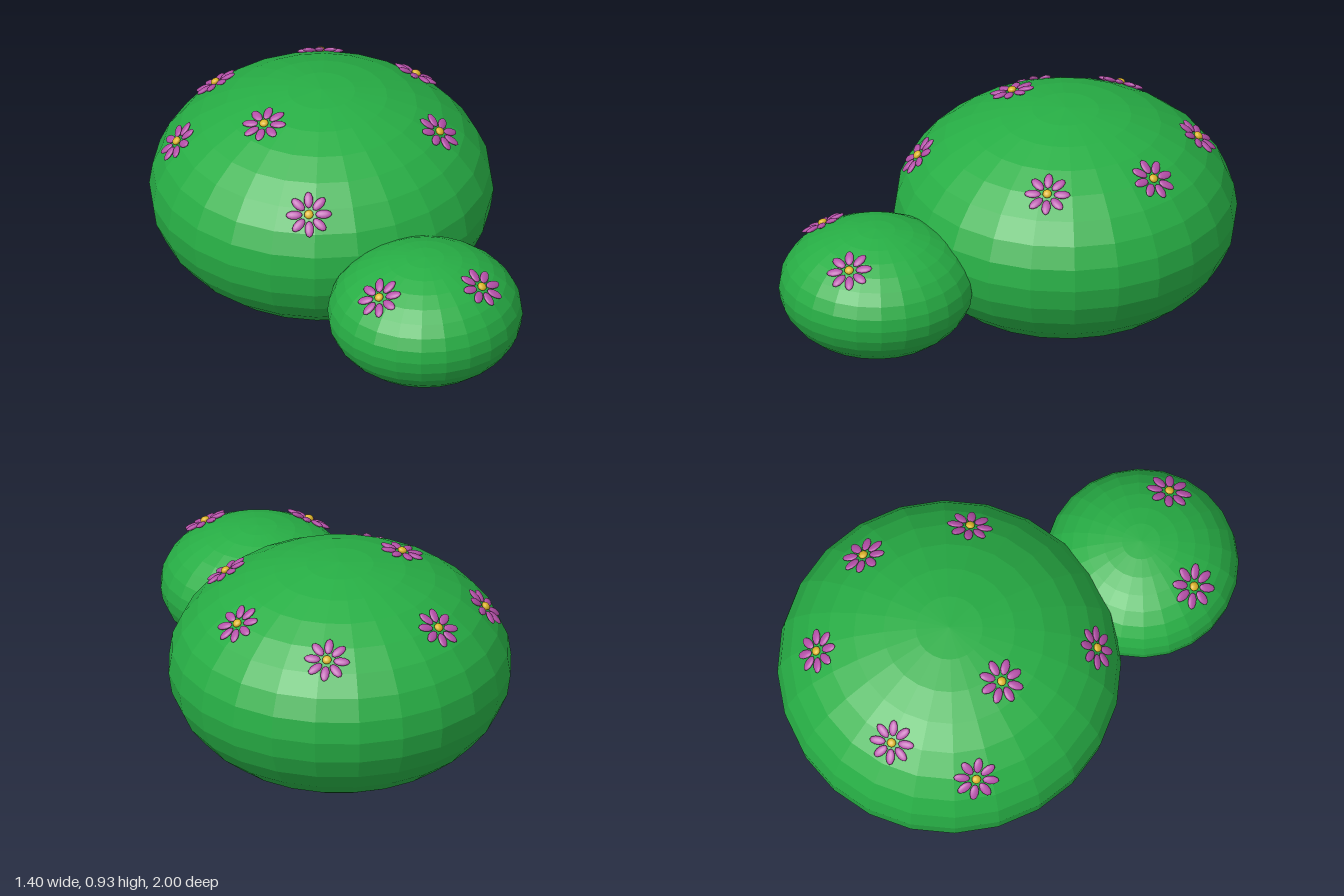
import * as THREE from 'three';

const leafGreen = new THREE.MeshStandardMaterial({ name: 'leafGreen', color: 0x27ae45, flatShading: true });
const petalPurple = new THREE.MeshStandardMaterial({ name: 'petalPurple', color: 0xb44fa8 });
const pollenYellow = new THREE.MeshStandardMaterial({ name: 'pollenYellow', color: 0xdcb428 });

const petalGeometry = new THREE.SphereGeometry(1, 10, 8).scale(0.034, 0.009, 0.0185);
const pollenGeometry = new THREE.SphereGeometry(1, 10, 8).scale(0.019, 0.013, 0.019);

// Eight flat petals around a yellow centre, facing +y
function makeFlower(spin) {
  const flower = new THREE.Group();
  flower.name = 'flower';
  for (let i = 0; i < 8; i++) {
    const angle = spin + (i * Math.PI) / 4;
    const petal = new THREE.Mesh(petalGeometry, petalPurple);
    petal.name = 'petal';
    petal.position.set(Math.cos(angle) * 0.06, 0, -Math.sin(angle) * 0.06);
    petal.rotation.y = angle;
    flower.add(petal);
  }
  const centre = new THREE.Mesh(pollenGeometry, pollenYellow);
  centre.name = 'flowerCentre';
  centre.position.y = 0.005;
  flower.add(centre);
  return flower;
}

// Squashed ball with flowers laid on its upper surface at the given [x, z, spin]
function makeBush(name, centre, radii, flowers) {
  const bush = new THREE.Group();
  bush.name = name;
  const geometry = new THREE.SphereGeometry(1, 24, 16).scale(...radii);
  const foliage = new THREE.Mesh(geometry, leafGreen);
  foliage.name = name + 'Foliage';
  bush.add(foliage);

  const [rx, ry, rz] = radii;
  const up = new THREE.Vector3(0, 1, 0);
  for (const [x, z, spin] of flowers) {
    const dx = x - centre[0], dz = z - centre[2];
    const dy = ry * Math.sqrt(1 - (dx / rx) ** 2 - (dz / rz) ** 2);
    const normal = new THREE.Vector3(dx / rx ** 2, dy / ry ** 2, dz / rz ** 2).normalize();
    const flower = makeFlower(spin);
    flower.position.set(dx, dy, dz).addScaledVector(normal, 0.004);
    flower.quaternion.setFromUnitVectors(up, normal);
    bush.add(flower);
  }
  bush.position.set(...centre);
  return bush;
}

export function createModel() {
  const model = new THREE.Group();
  model.name = 'floweringBushes';

  model.add(makeBush('largeBush', [0, 0.47, -0.305], [0.698, 0.467, 0.695], [
    [-0.255, -0.735, 0.05],
    [0.245, -0.78, 0.25],
    [-0.545, -0.515, 0.15],
    [0.485, -0.41, 0.1],
    [-0.295, -0.24, 0],
    [0.365, 0.02, 0.1],
    [-0.32, 0.195, 0.3],
  ]));

  model.add(makeBush('smallBush', [-0.005, 0.388, 0.605], [0.396, 0.263, 0.395], [
    [-0.26, 0.695, 0.2],
    [0.135, 0.825, 0.15],
  ]));

  return model;
}
